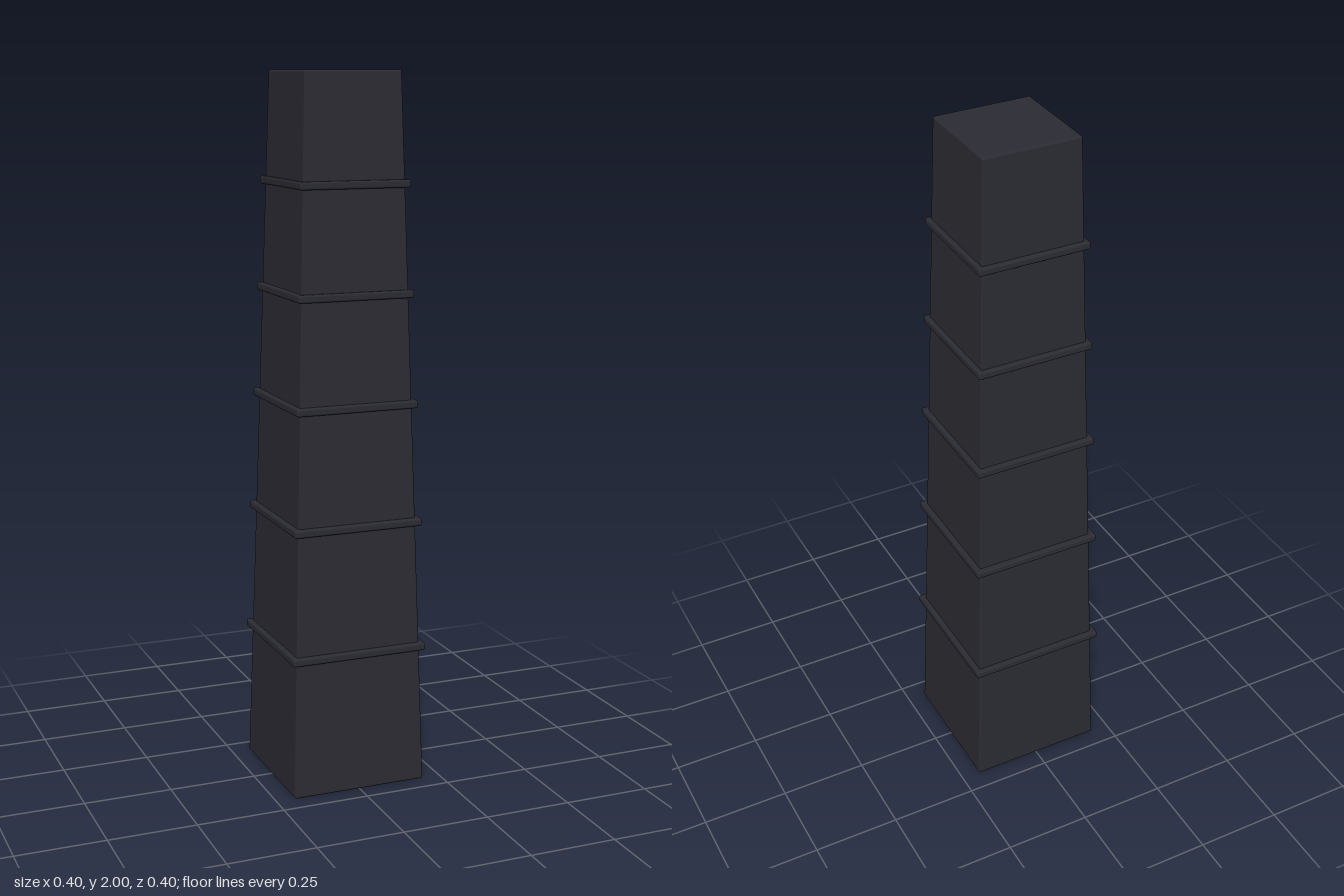
import * as THREE from 'three';
import { RoundedBoxGeometry } from 'three/addons/geometries/RoundedBoxGeometry.js';

const HEIGHT = 2;
const BASE_HALF = 0.197;
const TOP_HALF = 0.139;

export function createModel() {
  const model = new THREE.Group();
  model.name = 'taperedTower';

  const charcoal = new THREE.MeshStandardMaterial({ color: 0x2b2b33 });
  charcoal.name = 'charcoal';

  // Tapered square shaft with softly rounded edges
  const shaftGeometry = new RoundedBoxGeometry(2 * BASE_HALF, HEIGHT, 2 * BASE_HALF, 3, 0.007);
  shaftGeometry.translate(0, HEIGHT / 2, 0);
  const p = shaftGeometry.attributes.position;
  const n = shaftGeometry.attributes.normal;
  const slope = (BASE_HALF - TOP_HALF) / HEIGHT;
  const v = new THREE.Vector3();
  for (let i = 0; i < p.count; i++) {
    const y = p.getY(i);
    const k = THREE.MathUtils.lerp(1, TOP_HALF / BASE_HALF, y / HEIGHT);
    p.setXYZ(i, p.getX(i) * k, y, p.getZ(i) * k);
    // Tilt the side normals with the taper
    v.fromBufferAttribute(n, i);
    v.y += slope * Math.max(Math.abs(v.x), Math.abs(v.z));
    v.normalize();
    n.setXYZ(i, v.x, v.y, v.z);
  }
  const shaft = new THREE.Mesh(shaftGeometry, charcoal);
  shaft.name = 'shaft';
  model.add(shaft);

  // Thin rounded bands: height of centre, half width
  const bands = [[0.4, 0.2], [0.763, 0.19], [1.097, 0.179], [1.402, 0.169], [1.7, 0.16]];
  bands.forEach(([y, half], i) => {
    const band = new THREE.Mesh(new RoundedBoxGeometry(2 * half, 0.022, 2 * half, 3, 0.006), charcoal);
    band.name = `band${i + 1}`;
    band.position.y = y;
    model.add(band);
  });

  return model;
}
